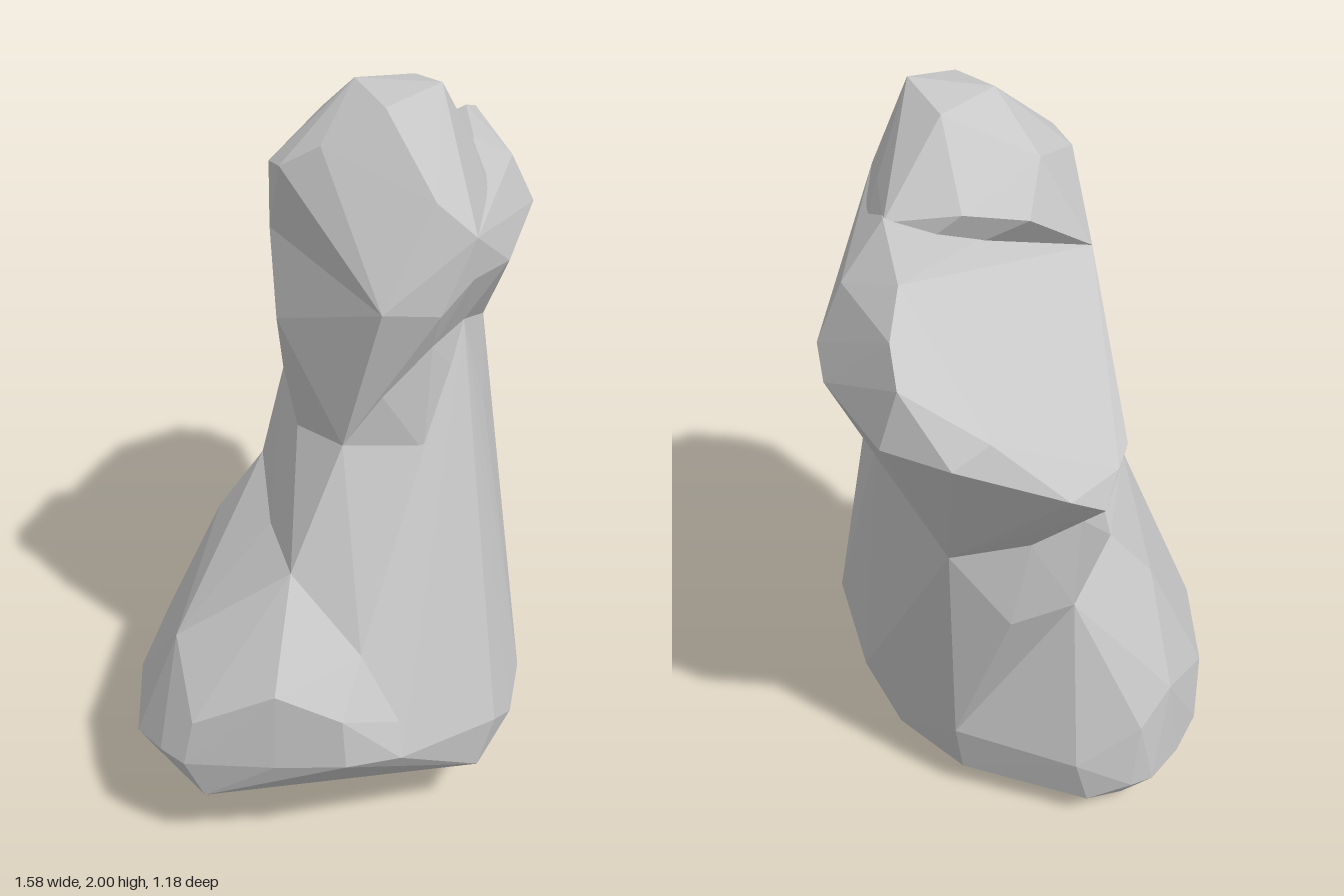
import * as THREE from 'three';
import { ConvexGeometry } from 'three/addons/geometries/ConvexGeometry.js';

// A faceted chunk of rock: the hull around its corner points.
function chunk(name, corners, material) {
  const points = corners.map(([x, y, z]) => new THREE.Vector3(x, y, z));
  const mesh = new THREE.Mesh(new ConvexGeometry(points), material);
  mesh.name = name;
  return mesh;
}

export function createModel() {
  const group = new THREE.Group();
  group.name = 'boulder';
  const stone = new THREE.MeshStandardMaterial({ color: 0xc8c8c8, flatShading: true });
  stone.name = 'grey stone';

  // Rings shared by neighbouring chunks: above the foot, at the waist and under the shoulder
  const ankle = [
    [-0.48, 0.82, 0.15], [-0.3, 0.8, -0.06], [0, 0.79, -0.33], [0.32, 0.8, -0.36], [-0.48, 0.66, 0.37],
  ];
  const waist = [
    [-0.31, 1.13, 0.19], [-0.25, 1.1, 0], [0.42, 1.21, 0.15], [0.57, 1.06, -0.13], [0.46, 1.08, -0.3],
    [0.34, 1.1, -0.38], [0.02, 1.08, -0.26],
  ];
  const waistFront = [[-0.2, 1.12, 0.36], [0.07, 1.14, 0.37], [-0.03, 1.42, 0.36]];
  const collar = [[-0.29, 1.36, 0.22], [-0.17, 1.4, 0.36], [-0.03, 1.42, 0.36], [-0.3, 1.42, -0.02]];
  // Lower front edge, shared by foot and column
  const frontRim = [
    [-0.17, 0.35, 0.59], [-0.47, 0.38, 0.49], [-0.05, 0.29, 0.57], [0.07, 0.35, 0.52], [0.29, 0.29, 0.31],
    [0.41, 0.28, -0.05],
  ];

  // Broad foot, stretched out towards the right of the front
  const foot = [
    // underside
    [0, 0, -0.48], [-0.32, 0.02, -0.4], [0.2, 0.03, -0.48], [0.23, 0.04, 0.1], [0.37, 0.1, -0.05],
    [0, 0.08, 0.43], [-0.2, 0.2, 0.56], [-0.45, 0.08, -0.3], [0.29, 0.1, 0.2], [-0.02, 0.05, 0.2],
    [0.32, 0.09, -0.42],
    // outer lump
    [-0.6, 0.4, 0.41], [-0.6, 0.29, 0.25], [-0.69, 0.38, 0.25], [-0.75, 0.23, 0.06], [-0.79, 0.35, 0.03],
    [-0.79, 0.36, -0.05], [-0.77, 0.48, 0.05], [-0.68, 0.6, 0.25], [-0.6, 0.54, 0.4], [-0.72, 0.3, -0.2],
    [-0.63, 0.6, -0.12],
    // back rim
    [-0.1, 0.11, -0.59], [0.05, 0.11, -0.59], [0.2, 0.13, -0.57], [0.26, 0.14, -0.53], [0.24, 0.35, -0.54],
    [0.1, 0.4, -0.57], [-0.2, 0.25, -0.56], [-0.47, 0.26, -0.42], [0.36, 0.25, -0.4], [0.3, 0.54, -0.42],
    [-0.1, 0.62, -0.42],
  ];

  // Shoulder that leans out sideways and slopes down to the back
  const shoulder = [
    // bulge below the knob
    [-0.33, 1.53, 0.32], [-0.2, 1.5, 0.4], [-0.13, 1.69, 0.45], [-0.12, 1.58, 0.44], [0.13, 1.53, 0.39],
    [0.31, 1.54, 0.28], [-0.28, 1.65, -0.05], [-0.08, 1.62, -0.21],
    // leaning side
    [0.51, 1.54, 0.24], [0.6, 1.5, 0.17], [0.78, 1.5, -0.08], [0.785, 1.5, -0.26], [0.76, 1.65, -0.12],
    [0.68, 1.71, -0.06], [0.53, 1.76, 0], [0.28, 1.77, 0.18], [0.45, 1.68, 0.2], [0.72, 1.55, -0.32],
    // back edge
    [0.5, 1.41, -0.53], [0.57, 1.34, -0.53], [0.65, 1.4, -0.48], [0.4, 1.41, -0.51], [0.33, 1.4, -0.46],
  ];

  // Rounded knob on top
  const knob = [
    [-0.02, 2, 0.27], [-0.08, 1.99, 0.06], [-0.18, 1.97, 0.22], [0.09, 1.97, 0.12], [-0.27, 1.88, 0.1],
    [-0.3, 1.82, 0], [-0.24, 1.8, -0.08], [0, 1.87, -0.1], [0.12, 1.76, -0.13], [0.22, 1.79, 0],
    [0.13, 1.79, 0.28], [0.28, 1.76, 0.18], [-0.2, 1.78, 0.38], [-0.13, 1.69, 0.45], [-0.33, 1.53, 0.32],
    [0.13, 1.53, 0.39], [0.31, 1.54, 0.28], [-0.28, 1.65, -0.05], [-0.08, 1.62, -0.21],
  ];

  group.add(
    chunk('foot', [...foot, ...frontRim, ...ankle], stone),
    chunk('column', [...frontRim, ...ankle, [0.47, 0.81, -0.25], ...waist, ...waistFront], stone),
    chunk('neck', [...waist, ...waistFront, ...collar], stone),
    chunk('shoulder', [...waist, ...collar, ...shoulder], stone),
    chunk('knob', knob, stone),
  );
  return group;
}
